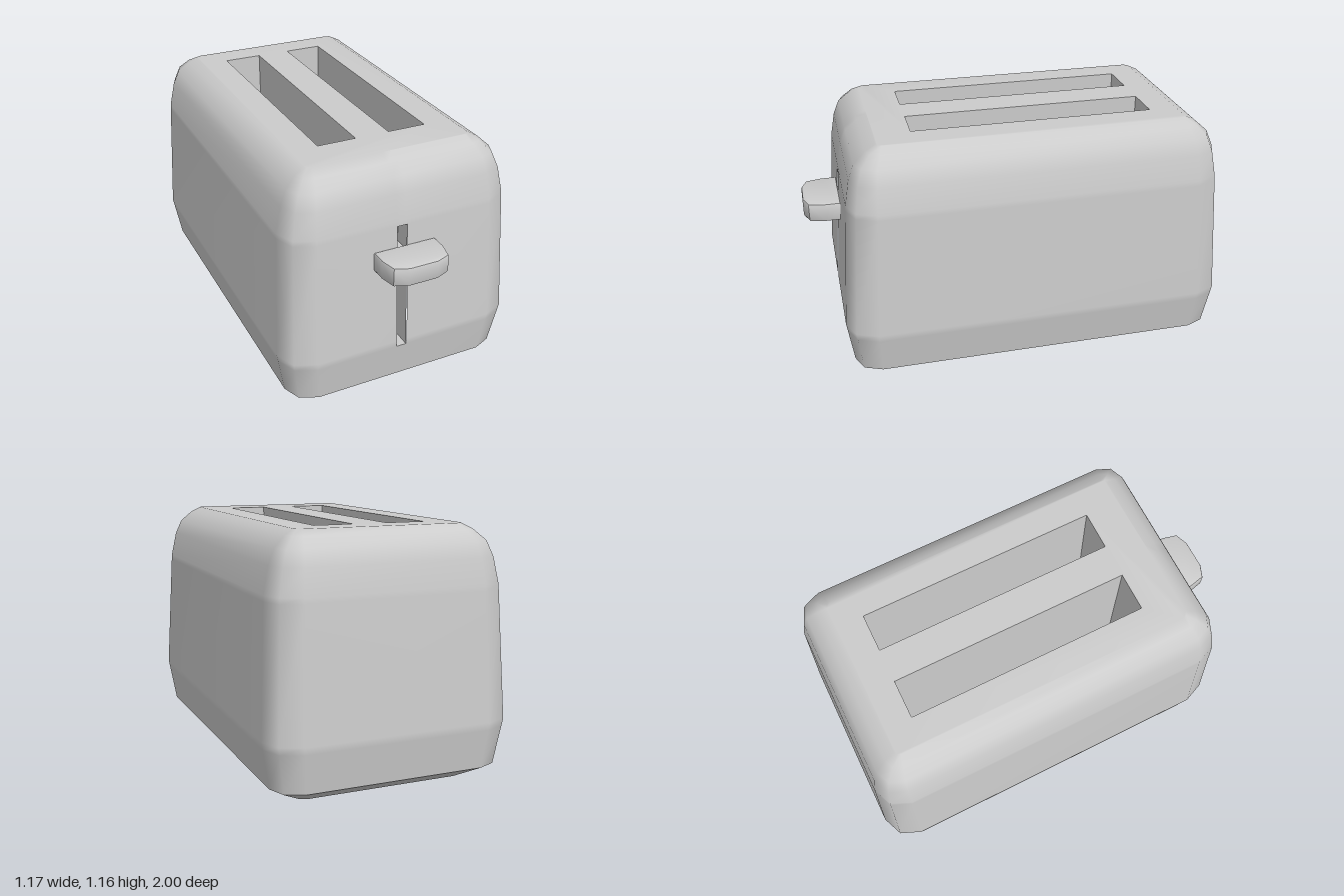
import * as THREE from 'three';
import { mergeGeometries, mergeVertices, toCreasedNormals } from 'three/addons/utils/BufferGeometryUtils.js';

const CZ = -0.068;             // body centre in z
const SLIT = { x0: -0.045, x1: 0.005, y0: 0.255, y1: 0.875 };

// Body sections: height, half width, half length, corner radius
const SECTIONS = [
  [0, 0.42, 0.775, 0.06],
  [0.073, 0.545, 0.9, 0.12],
  [0.29, 0.583, 0.931, 0.14],
  [0.9, 0.555, 0.885, 0.13],
  [1.02, 0.53, 0.863, 0.115],
  [1.09, 0.5, 0.835, 0.095],
  [1.138, 0.447, 0.78, 0.06],
  [1.163, 0.4, 0.73, 0.025],
];

// Section at any height, interpolated between its neighbours
function sectionAt(y) {
  const i = Math.max(1, SECTIONS.findIndex((s) => s[0] >= y));
  const a = SECTIONS[i - 1], b = SECTIONS[i];
  const t = (y - a[0]) / (b[0] - a[0]);
  return a.map((v, k) => v + (b[k] - v) * t);
}
const frontZ = (y) => CZ + sectionAt(y)[2];

// Rounded rectangle ring, starting with the two edges of the lever slit
function ring([y, hx, hz, r]) {
  const pts = [[SLIT.x0, y, CZ + hz], [SLIT.x1, y, CZ + hz]];
  const corners = [[1, 1], [1, -1], [-1, -1], [-1, 1]];
  corners.forEach(([sx, sz], c) => {
    for (let k = 0; k < 3; k++) {
      const a = Math.PI / 2 - (c + k / 2) * Math.PI / 2;
      pts.push([sx * (hx - r) + r * Math.cos(a), y, CZ + sz * (hz - r) + r * Math.sin(a)]);
    }
  });
  return pts;
}

// Wall through a list of rings; skip(i, j) leaves a quad open
function loft(rings, skip = () => false) {
  const n = rings[0].length, index = [];
  for (let i = 0; i < rings.length - 1; i++) {
    for (let j = 0; j < n; j++) {
      if (skip(i, j)) continue;
      const a = i * n + j, b = i * n + (j + 1) % n;
      index.push(a, b, b + n, a, b + n, a + n);
    }
  }
  const g = new THREE.BufferGeometry();
  g.setAttribute('position', new THREE.Float32BufferAttribute(rings.flat(2), 3));
  g.setIndex(index);
  return g;
}

// Flat cap on a ring, facing up (dir 1) or down (dir -1), with rectangular holes
function cap(points, dir, holes = []) {
  const shape = new THREE.Shape(points.map((p) => new THREE.Vector2(p[0], -dir * p[2])));
  for (const [x0, x1, z0, z1] of holes) {
    shape.holes.push(new THREE.Path([[x0, z0], [x1, z0], [x1, z1], [x0, z1]]
      .map(([x, z]) => new THREE.Vector2(x, -dir * z))));
  }
  const g = new THREE.ShapeGeometry(shape).rotateX(-dir * Math.PI / 2);
  g.translate(0, points[0][1], 0);
  g.deleteAttribute('uv');
  g.deleteAttribute('normal');
  return g;
}

function smooth(parts) {
  const g = mergeVertices(mergeGeometries(parts), 1e-4);
  g.computeVertexNormals();
  return g;
}

// Box seen from inside, with one face left open (2 = top, 4 = front)
function well(x0, x1, y0, y1, z0, z1, openFace) {
  const g = new THREE.BoxGeometry(x1 - x0, y1 - y0, z1 - z0);
  g.translate((x0 + x1) / 2, (y0 + y1) / 2, (z0 + z1) / 2);
  const kept = Array.from(g.index.array).filter((_, i) => Math.floor(i / 6) !== openFace);
  g.setIndex(kept.reverse());
  const nor = g.attributes.normal;
  for (let i = 0; i < nor.array.length; i++) nor.array[i] *= -1;
  return g;
}

export function createModel() {
  const group = new THREE.Group();
  const material = new THREE.MeshStandardMaterial({ color: 0xcccccc });
  const add = (name, geometry) => {
    const mesh = new THREE.Mesh(geometry, material);
    mesh.name = name;
    group.add(mesh);
    return mesh;
  };

  // Shell, open at the bread slots and the lever slit
  const slots = [[-0.27, -0.085], [0.08, 0.265]].map(([a, b]) => [a, b, -0.665, 0.49]);
  const upper = [...SECTIONS.slice(1), sectionAt(SLIT.y0), sectionAt(SLIT.y1)].sort((a, b) => a[0] - b[0]);
  const rings = upper.map(ring);
  const inSlit = (i, j) => j === 0 && upper[i][0] >= SLIT.y0 - 1e-6 && upper[i + 1][0] <= SLIT.y1 + 1e-6;
  const top = rings[rings.length - 1];
  add('shell', smooth([loft(rings, inSlit), cap(top, 1, slots)]));

  // Bevelled base with a sharp edge against the shell
  const base = SECTIONS.slice(0, 2).map(ring);
  add('base', smooth([loft(base), cap(base[0], -1)]));

  // Bread slots
  const topY = top[0][1];
  for (const [x0, x1, z0, z1] of slots) {
    add('breadSlot', well(x0, x1, topY - 0.65, topY, z0, z1, 2));
  }

  // Lever slit, its front edge following the slope of the shell
  const slit = well(SLIT.x0, SLIT.x1, SLIT.y0, SLIT.y1, 0.74, 0.84, 4);
  const pos = slit.attributes.position;
  for (let i = 0; i < pos.count; i++) {
    if (pos.getZ(i) > 0.8) pos.setZ(i, frontZ(pos.getY(i)));
  }
  add('leverSlit', slit);

  // Lever handle and the stem that runs in the slit
  const outline = [[0.152, 0.825], [0.152, 0.9], [0.134, 0.975], [0.07, 1], [-0.07, 1],
    [-0.134, 0.975], [-0.152, 0.9], [-0.152, 0.825]];
  const bevel = 0.01;
  const handle = new THREE.ExtrudeGeometry(new THREE.Shape(outline.map((p) => new THREE.Vector2(...p))), {
    depth: 0.092 - 2 * bevel, bevelThickness: bevel, bevelSize: bevel, bevelOffset: -bevel, bevelSegments: 2,
  }).rotateX(Math.PI / 2);
  add('leverHandle', toCreasedNormals(handle, 0.7)).position.set(-0.008, 0.778 - bevel, 0);
  add('leverStem', new THREE.BoxGeometry(0.03, 0.06, 0.12)).position.set(-0.02, 0.732, 0.8);

  return group;
}
